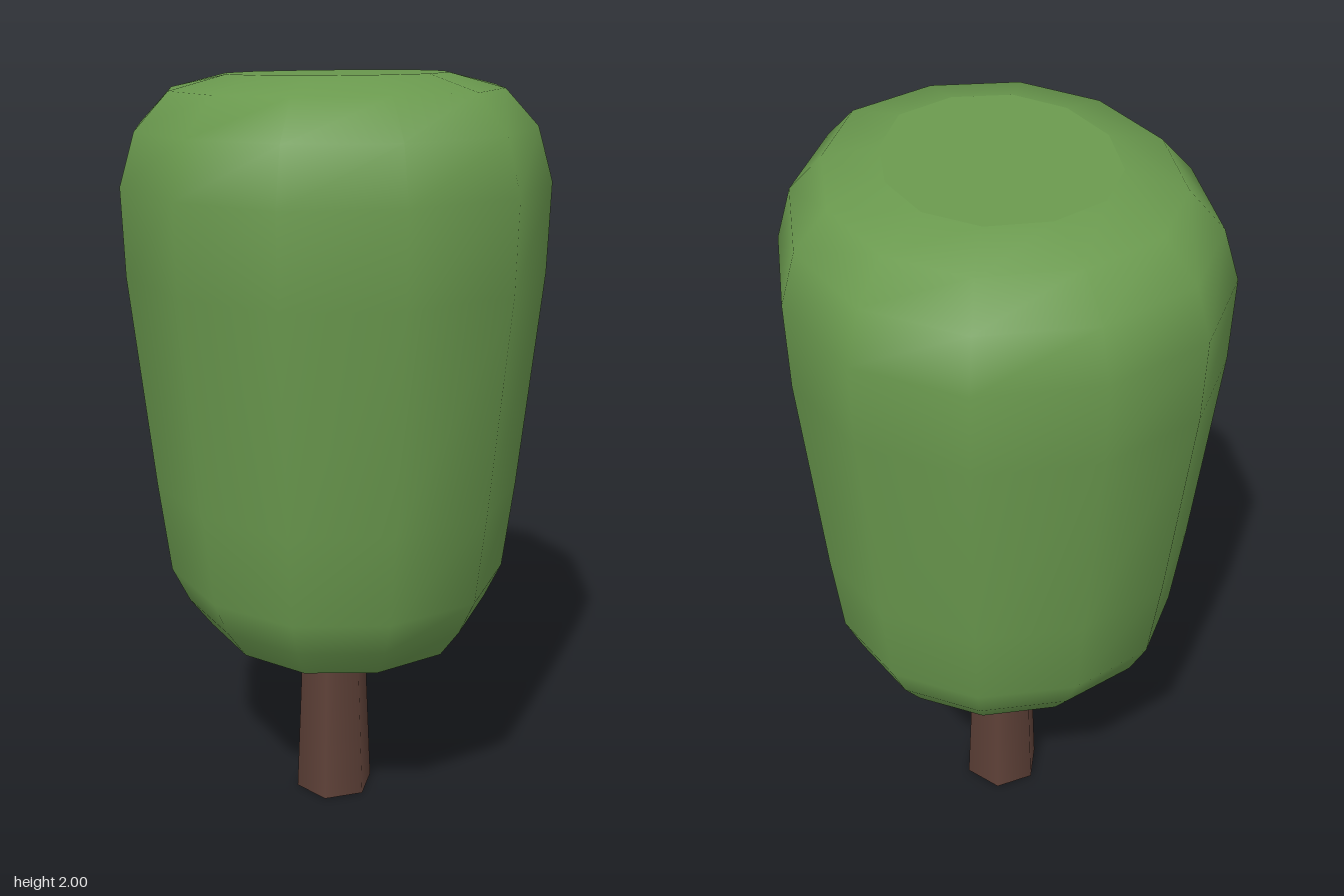
import * as THREE from 'three';

const leafGreen = new THREE.MeshStandardMaterial({ color: 0x6a994e, side: THREE.DoubleSide });
leafGreen.name = 'leafGreen';
const barkBrown = new THREE.MeshStandardMaterial({ color: 0x5d4037 });
barkBrown.name = 'barkBrown';

// Slightly uneven twelve-sided crown outline (x, z) at its widest ring
const outline = [
  [0.585, 0.025], [0.5, 0.31], [0.29, 0.51], [0.015, 0.565], [-0.28, 0.475], [-0.505, 0.265],
  [-0.587, 0], [-0.505, -0.275], [-0.295, -0.495], [-0.02, -0.567], [0.255, -0.475], [0.47, -0.255],
];

// Crown rings from bottom to top: radius, height, tilt along x, tilt along z
const rings = [
  [0.375, 0.54, -0.027, -0.032],
  [0.437, 0.62, -0.015, -0.025],
  [0.485, 0.715, -0.01, -0.02],
  [0.517, 0.95, 0, 0],
  [0.578, 1.5, 0.02, 0.01],
  [0.585, 1.72, 0.034, 0.02],
  [0.543, 1.85, 0.045, 0.03],
  [0.452, 1.94, 0.05, 0.04],
  [0.3, 1.976, 0.06, 0.05],
];

function ringPoints([radius, height, tiltX, tiltZ]) {
  return outline.flatMap(([ox, oz]) => {
    const x = ox * radius / 0.585, z = oz * radius / 0.585;
    return [x, height + x * tiltX + z * tiltZ, z];
  });
}

function build(positions, index) {
  const geometry = new THREE.BufferGeometry();
  geometry.setAttribute('position', new THREE.Float32BufferAttribute(positions, 3));
  geometry.setIndex(index);
  geometry.computeVertexNormals();
  return geometry;
}

function addPart(group, name, geometry, material) {
  const mesh = new THREE.Mesh(geometry, material);
  mesh.name = name;
  group.add(mesh);
  return mesh;
}

export function createModel() {
  const tree = new THREE.Group();
  tree.name = 'tree';
  const n = outline.length;

  // Crown: smooth shell, hollow and open underneath
  const shellIndex = [];
  for (let r = 0; r < rings.length - 1; r++) {
    for (let i = 0; i < n; i++) {
      const j = (i + 1) % n;
      const a = r * n + i, b = r * n + j, c = a + n, d = b + n;
      shellIndex.push(a, c, b, b, c, d);
    }
  }
  addPart(tree, 'crown', build(rings.flatMap(ringPoints), shellIndex), leafGreen);

  // Flat, gently tilted top of the crown
  const top = rings[rings.length - 1];
  const capIndex = [];
  for (let i = 0; i < n; i++) capIndex.push(n, (i + 1) % n, i);
  addPart(tree, 'crownTop', build([...ringPoints(top), 0, top[1], 0], capIndex), leafGreen);

  // Trunk: tapered six-sided post reaching up inside the crown
  const trunkHeight = 1.0;
  const trunkGeometry = new THREE.CylinderGeometry(0.066, 0.108, trunkHeight, 6);
  trunkGeometry.rotateY(Math.PI / 2);
  const trunk = addPart(tree, 'trunk', trunkGeometry, barkBrown);
  trunk.position.set(-0.013, trunkHeight / 2, 0.006);

  return tree;
}
